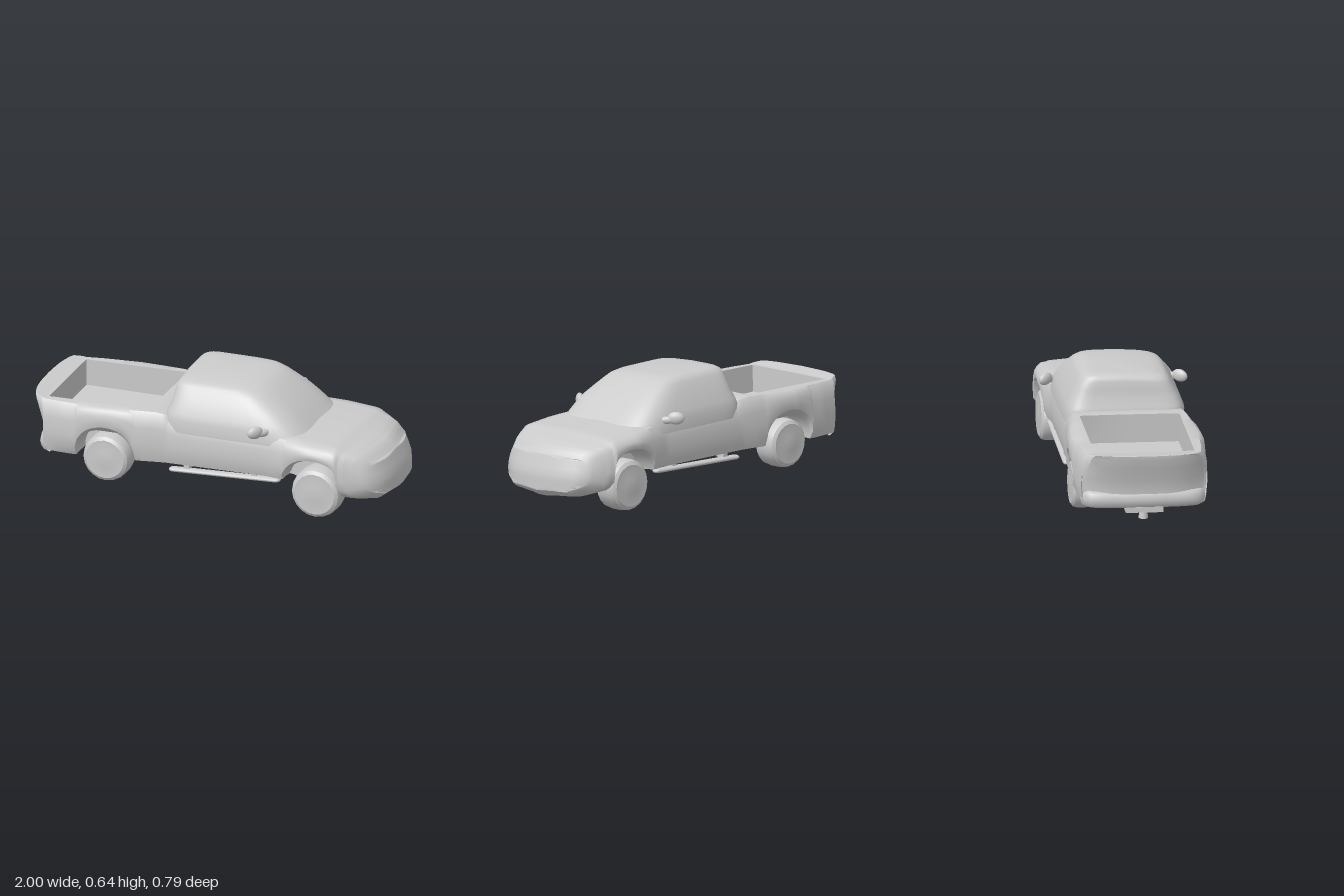
import * as THREE from 'three';
import { toCreasedNormals, mergeVertices } from 'three/addons/utils/BufferGeometryUtils.js';

const material = new THREE.MeshStandardMaterial({ color: 0xcccccc, side: THREE.DoubleSide });
const { clamp, lerp } = THREE.MathUtils;

function part(name, geometry, parent, x = 0, y = 0, z = 0) {
  const mesh = new THREE.Mesh(geometry, material);
  mesh.name = name;
  mesh.position.set(x, y, z);
  parent.add(mesh);
  return mesh;
}

// Skin a list of closed rings
function loft(rings, crease) {
  const n = rings[0].length;
  const index = [];
  for (let i = 0; i < rings.length - 1; i++) {
    for (let j = 0; j < n; j++) {
      const a = i * n + j, d = i * n + (j + 1) % n;
      index.push(a, a + n, d, d, a + n, d + n);
    }
  }
  const g = new THREE.BufferGeometry();
  g.setAttribute('position', new THREE.Float32BufferAttribute(rings.flat(2), 3));
  g.setIndex(index);
  return toCreasedNormals(mergeVertices(g), crease);
}

// Piecewise linear lookup in a list of [x, value]
function at(table, x) {
  let i = 1;
  while (i < table.length - 1 && x > table[i][0]) i++;
  const [x0, v0] = table[i - 1], [x1, v1] = table[i];
  return lerp(v0, v1, clamp((x - x0) / (x1 - x0), 0, 1));
}

const WIDTH = [[-1, .305], [-.94, .33], [-.8, .35], [-.6, .362], [-.45, .352], [-.32, .338], [-.22, .325], [.35, .325],
  [.45, .345], [.58, .362], [.8, .357], [.88, .347], [.95, .325], [1, .295]];
const TOP = [[-1, .462], [-.9, .45], [-.28, .462], [-.2, .45], [.35, .44], [.52, .43], [.73, .413],
  [.9, .382], [.96, .365], [1, .325]];
const BELLY = [[-1, .2], [-.95, .16], [-.85, .15], [-.7, .17], [-.3, .18], [.45, .18], [.72, .12], [.9, .09], [.97, .1], [1, .13]];
const SILL = [[-1, .22], [-.95, .17], [-.75, .165], [-.3, .185], [.45, .195], [.72, .15], [.9, .155], [1, .18]];
const ARCHES = [[-.55, .17, .165], [.625, .145, .182]];
const BED = { back: -.89, front: -.32, floor: .305, half: .265 };

// One cross-section of the lower body, with wheel wells and open bed
function bodySection(x, squeeze = 1, inBed = x > BED.back && x < BED.front) {
  const w = at(WIDTH, x), top = at(TOP, x), belly = at(BELLY, x);
  let edge = at(SILL, x);
  let under = [[.2, lerp(belly, edge, .2)], [w * .72, lerp(belly, edge, .4)], [w * .85, lerp(belly, edge, .65)]];
  for (const [cx, cy, r] of ARCHES) {
    if (Math.abs(x - cx) < r) {
      edge = Math.max(edge, cy + Math.sqrt(r * r - (x - cx) ** 2));
      // Inner well stays below the bed floor
      const well = Math.min(edge, BED.floor - .007);
      under = [[.2, belly], [.2, well], [BED.half + .008, well]];
    }
  }
  const drop = x > -.2 ? .03 : .004;
  const rise = top - drop - edge;
  const inner = Math.min(BED.half, w * .8);
  const half = [
    [0, belly], ...under, [Math.min(w * .955, BED.half + .06), edge], [w * .985, edge + rise * .15],
    [w, edge + rise * .4], [w * .985, edge + rise * .7], [w * .95, edge + rise * .92],
    [w * .89, top - drop * .6], [inner, top - drop * .3],
    [inner - .001, inBed ? BED.floor : top - drop * .3], [0, inBed ? BED.floor : top],
  ].map(([z, y]) => [z * squeeze, y]);
  const ring = [...half, ...half.slice(1, -1).reverse().map(([z, y]) => [-z, y])];
  // Bow the nose and tail in plan and rake them in profile
  const nose = clamp((x - .75) / .25, 0, 1);
  const tail = clamp((-.9 - x) / .1, 0, 1);
  return ring.map(([z, y]) => [
    x - nose * (.3 * z * z + 8 * z ** 4 + .35 * Math.max(0, y - .22))
      + tail * (.2 * z * z + 4 * z ** 4 + .05 * clamp((.45 - y) / .18, 0, 1)), y, z]);
}

function bodyGeometry() {
  const stations = [];
  for (let i = 0; i <= 100; i++) stations.push(-1 + i * .02);
  // Tight pairs at the bed walls and the arch ends
  for (const x of [BED.back, BED.front]) stations.push(x - .0005, x + .0005);
  for (const [cx, , r] of ARCHES) {
    for (const f of [.96, .995, 1.005]) stations.push(cx - r * f, cx + r * f);
  }
  stations.sort((a, b) => a - b);
  // Squeezed sections close the tail and nose with bowed faces
  const squeezes = [0, .2, .4, .6, .8];
  return loft([
    ...squeezes.map((s) => bodySection(-1, s)),
    ...stations.map((x) => bodySection(x)),
    ...squeezes.reverse().map((s) => bodySection(1, s)),
  ], .7);
}

// Cab levels: height, rear x, front x, half width
function cabGeometry() {
  const levels = [
    [.37, -.24, .6, .322], [.436, -.245, .525, .32], [.47, -.235, .49, .307], [.516, -.215, .436, .288],
    [.56, -.208, .375, .265], [.6, -.2, .315, .243], [.62, -.193, .275, .228], [.632, -.175, .23, .205],
    [.637, -.13, .17, .16], [.639, .02, .021, .001],
  ];
  const bend = (v, e) => Math.sign(v) * Math.abs(v) ** e;
  const n = 48;
  return loft(levels.map(([y, x0, x1, w]) => Array.from({ length: n }, (_, i) => {
    const a = i / n * Math.PI * 2, c = Math.cos(a);
    const e = c > 0 ? .45 : .25;
    const z = w * bend(Math.sin(a), e);
    // The roof sags a little toward one side
    const sag = .07 * Math.max(0, z - .02) * clamp((y - .5) / .1, 0, 1);
    return [(x0 + x1) / 2 + (x1 - x0) / 2 * bend(c, e), y - sag, z];
  })), .8);
}

function wheelGeometry(r) {
  const profile = [[0, -.07], [r * .85, -.07], [r * .97, -.06], [r, -.035], [r, .03], [r * .95, .054],
    [r * .82, .066], [r * .65, .065], [r * .3, .07], [0, .072]];
  const g = new THREE.LatheGeometry(profile.map((p) => new THREE.Vector2(...p)), 20);
  return toCreasedNormals(g.rotateX(Math.PI / 2), .6);
}

export function createModel() {
  const model = new THREE.Group();
  model.name = 'pickupTruck';
  // The truck leans slightly to one side
  const truck = new THREE.Group();
  truck.name = 'truck';
  truck.rotation.x = .022;
  truck.position.y = .006;
  model.add(truck);

  part('body', bodyGeometry(), truck);
  part('cab', cabGeometry(), truck);

  for (const s of [1, -1]) {
    // The nose points to +x, so the driver's right is +z
    const side = s > 0 ? 'right' : 'left';

    for (const [end, x, y, r] of [['Front', .635, .141, .137], ['Rear', -.55, .168, .13]]) {
      const wheel = part(`${side}${end}Wheel`, wheelGeometry(r), truck, x, y, s * .276);
      if (s < 0) wheel.rotation.y = Math.PI;
    }

    // Door mirror: swept-back shell on a short stalk
    const shell = part(`${side}Mirror`, new THREE.SphereGeometry(1, 14, 10), truck, .31, .452, s * .356);
    shell.scale.set(.022, .034, .046);
    shell.rotation.y = -s * .7;
    const stalk = part(`${side}MirrorStalk`, new THREE.SphereGeometry(1, 10, 8), truck, .342, .442, s * .322);
    stalk.scale.set(.016, .02, .04);
    stalk.rotation.y = -s * .7;

    // Running board, rising toward the front
    const step = new THREE.CapsuleGeometry(.5, 13, 4, 10).rotateZ(Math.PI / 2);
    step.scale(.63 / 14, .026, .05);
    const board = part(`${side}RunningBoard`, step, truck, .115, .166, s * .303);
    board.rotation.z = .04;
    for (const x of [-.1, .28]) part('runningBoardBracket', new THREE.BoxGeometry(.03, .03, .05), truck, x, .18, s * .285);

    // Hanger between body and rear bumper
    part('bumperHanger', new THREE.BoxGeometry(.07, .03, .03), truck, -.9, .175, s * .16);
  }

  // Rear bumper follows the bowed tail
  const path = new THREE.CatmullRomCurve3([[-.87, -.315], [-.91, -.285], [-.932, -.12], [-.932, .12], [-.91, .285], [-.87, .315]]
    .map(([x, z]) => new THREE.Vector3(x, 0, z)));
  const bumper = new THREE.TubeGeometry(path, 24, .024, 8).scale(1, 1.9, 1);
  part('rearBumper', bumper, truck, 0, .2, 0);
  part('bumperStep', new THREE.BoxGeometry(.07, .03, .2), truck, -.91, .145, 0);
  part('towHitch', new THREE.CylinderGeometry(.02, .026, .045, 10), truck, -.895, .108, 0);

  return model;
}
